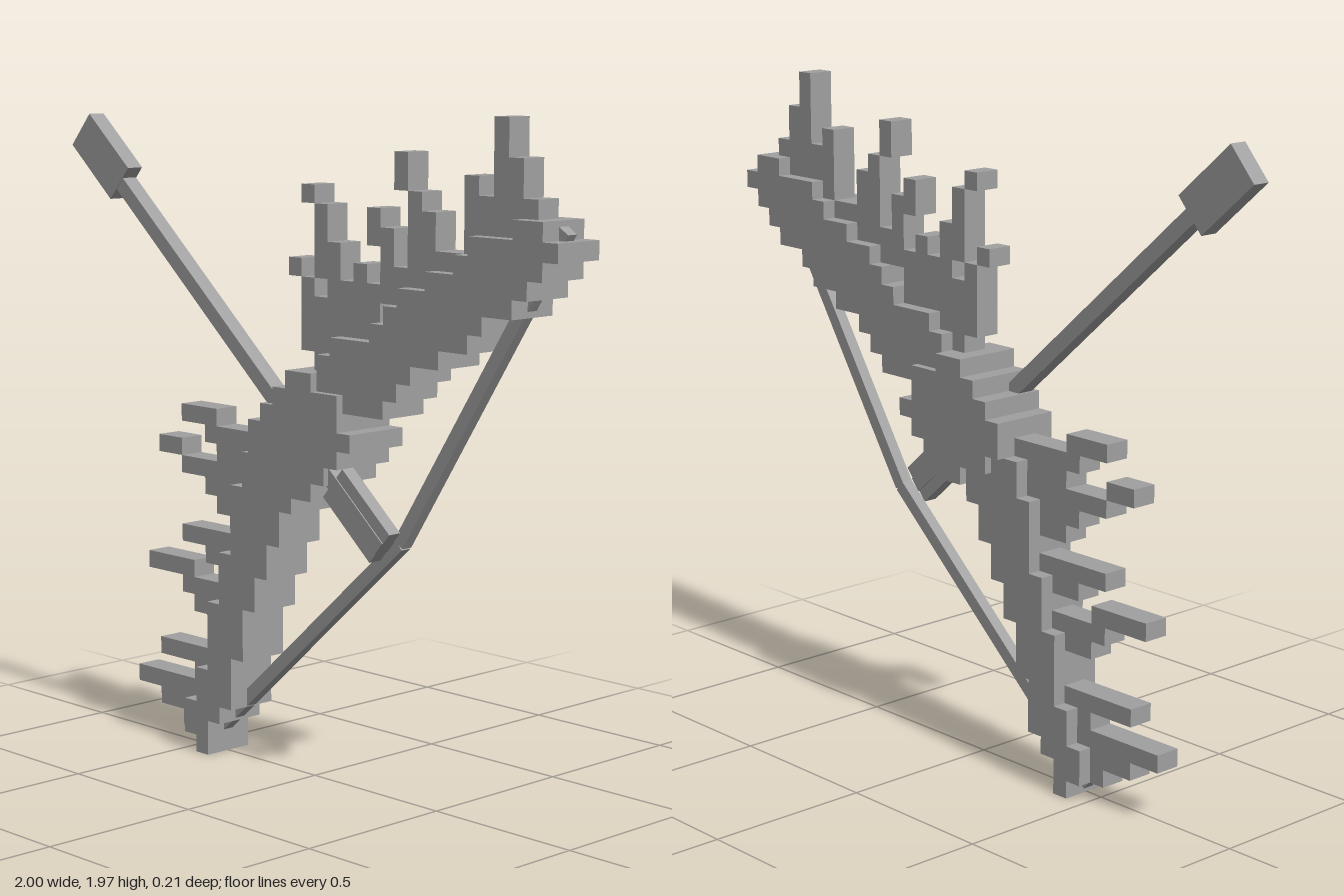
import * as THREE from 'three';
import { mergeGeometries } from 'three/addons/utils/BufferGeometryUtils.js';

const U = 0.0533, X0 = -0.76; // grid step and left edge of column 0

export function createModel() {
  const group = new THREE.Group();
  const grey = new THREE.MeshStandardMaterial({ color: 0xa0a0a0 });
  grey.name = 'stone grey';

  const add = (name, geometry) => {
    const mesh = new THREE.Mesh(geometry, grey);
    mesh.name = name;
    group.add(mesh);
    return mesh;
  };
  // One block covering columns c0..c1 and rows r0..r1 (ends excluded)
  const block = (c0, c1, r0, r1, depth) =>
    new THREE.BoxGeometry((c1 - c0) * U, (r1 - r0) * U, depth)
      .translate(X0 + (c0 + c1) / 2 * U, (r0 + r1) / 2 * U, 0);
  // Stacked rows, each [first column, end column], going up from row r0
  const rows = (name, r0, depth, spans) =>
    add(name, mergeGeometries(spans.map(([a, b], i) => block(a, b, r0 + i, r0 + i + 1, depth))));
  // Square bar between two points in the xy plane
  const bar = (name, a, b, width, depth, z) => {
    const mesh = add(name, new THREE.BoxGeometry(Math.hypot(b[0] - a[0], b[1] - a[1]), width, depth));
    mesh.position.set((a[0] + b[0]) / 2, (a[1] + b[1]) / 2, z);
    mesh.rotation.z = Math.atan2(b[1] - a[1], b[0] - a[0]);
  };

  // Thick rounded grip
  rows('grip', 16, 0.213, [
    [14, 16], [12, 17], [11, 18], [11, 19], [12, 18], [13, 18], [14, 16],
  ]);

  // Stepped limbs
  rows('upperLimb', 21, 0.165, [
    [16, 21], [16, 22], [16, 23], [17, 25], [20, 27], [21, 28],
    [22, 30], [24, 31], [26, 32], [27, 33], [30, 32],
  ]);
  rows('lowerLimb', 0, 0.165, [
    [6, 7], [5, 7], [5, 8], [6, 9], [6, 9], [7, 9], [7, 10], [7, 10], [7, 10],
    [8, 11], [8, 11], [8, 12], [9, 12], [9, 13], [9, 13], [9, 14], [10, 14], [10, 15],
  ]);

  // Branching thorns of the upper limb: [column, first row, end row]
  const upper = [
    [13, 28, 29], [14, 24, 28], [15, 23, 27],
    [14, 32, 33], [15, 28, 32], [16, 24, 30], [17, 24, 27],
    [17, 25, 28], [18, 25, 29], [19, 25, 28],
    [19, 30, 32], [20, 27, 31], [21, 27, 29],
    [21, 33, 35], [22, 28, 33], [23, 28, 32], [24, 28, 30],
    [25, 28, 30], [26, 30, 34], [27, 30, 33],
    [28, 33, 37], [29, 31, 35], [30, 32, 33], [28, 31, 33],
  ];
  add('upperThorns', mergeGeometries(upper.map(([c, a, b]) => block(c, c + 1, a, b, 0.08))));

  // Branching thorns of the lower limb: [row, first column, end column]
  const lower = [
    [19, 4, 7], [18, 6, 11], [17, 7, 10],
    [17, 2, 4], [16, 4, 10], [15, 6, 9], [14, 7, 9],
    [12, 4, 9], [11, 6, 8],
    [10, 1, 5], [9, 4, 8], [8, 5, 7],
    [5, 2, 7], [4, 5, 6],
    [3, 0, 6], [2, 2, 5], [1, 4, 5],
  ];
  add('lowerThorns', mergeGeometries(lower.map(([r, a, b]) => block(a, b, r, r + 1, 0.08))));

  // Drawn string
  const nock = [0.36, 0.755];
  bar('upperString', nock, [0.96, 1.68], 0.04, 0.036, 0);
  bar('lowerString', nock, [-0.46, 0.03], 0.04, 0.036, 0);

  // Arrow: shaft, block head and fletching
  const tip = [-0.955, 1.885], tail = [0.35, 0.75];
  const along = t => [tip[0] + (tail[0] - tip[0]) * t, tip[1] + (tail[1] - tip[1]) * t];
  bar('arrowShaft', along(0.1), tail, 0.046, 0.052, 0.062);
  bar('arrowHead', tip, along(0.14), 0.13, 0.056, 0.062);
  bar('arrowFletching', along(0.855), tail, 0.12, 0.044, 0.062);

  return group;
}
